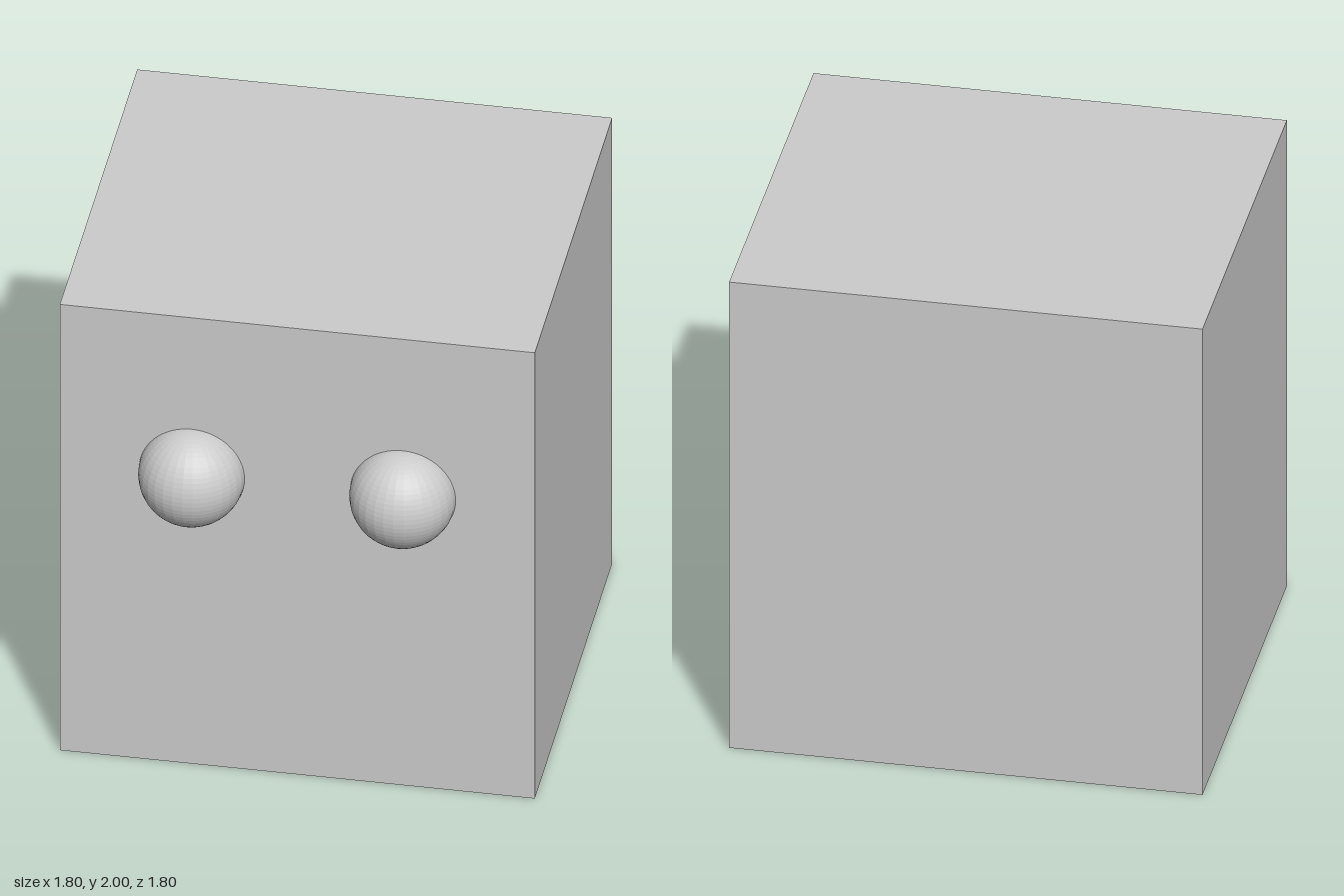
import * as THREE from 'three';

export function createModel() {
  const group = new THREE.Group();
  const material = new THREE.MeshStandardMaterial({ color: 0xcccccc, flatShading: true });

  // Block body, set back so the eyes complete the depth
  const body = new THREE.Mesh(new THREE.BoxGeometry(1.8, 2, 1.6), material);
  body.name = 'body';
  body.position.set(0, 1, -0.1);
  group.add(body);

  // Round eyes, half sunk into the front face
  const eyeGeometry = new THREE.SphereGeometry(0.2, 32, 32);
  for (const [name, side] of [['leftEye', 1], ['rightEye', -1]]) {
    const eye = new THREE.Mesh(eyeGeometry, material);
    eye.name = name;
    eye.position.set(side * 0.4, 1.3, 0.7);
    group.add(eye);
  }

  return group;
}
